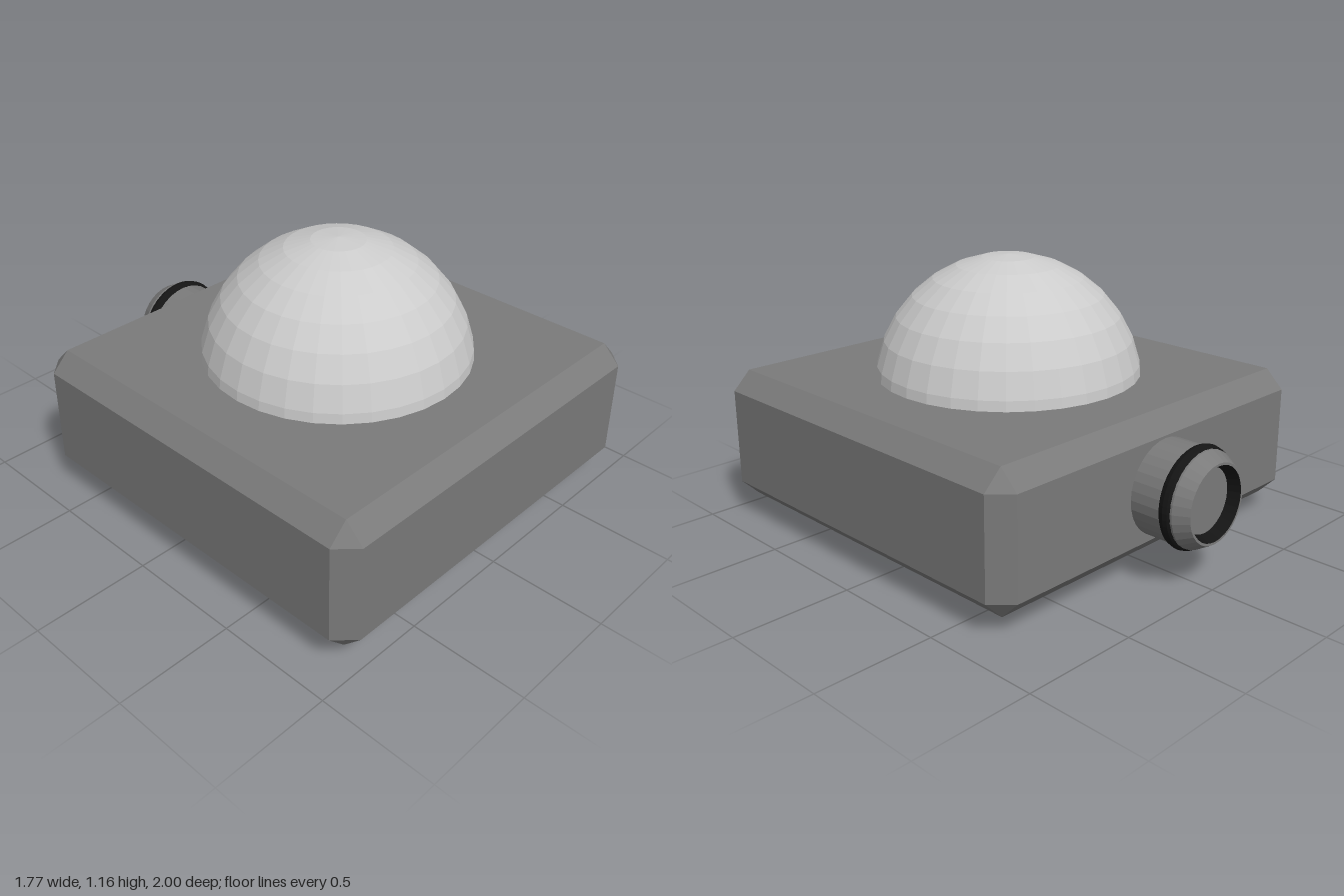
import * as THREE from 'three';
import { ConvexGeometry } from 'three/addons/geometries/ConvexGeometry.js';

const material = (color, side = THREE.FrontSide) =>
  new THREE.MeshStandardMaterial({ color, flatShading: true, side });

const bodyMat = material(0x7a7a7a);
const domeMat = material(0xcccccc);
const darkMat = material(0x141414, THREE.DoubleSide);

function addMesh(parent, name, geometry, mat, x = 0, y = 0, z = 0) {
  const mesh = new THREE.Mesh(geometry, mat);
  mesh.name = name;
  mesh.position.set(x, y, z);
  parent.add(mesh);
  return mesh;
}

// Box with every edge and corner cut by the same chamfer
function chamferedBox(w, h, d, c) {
  const points = [];
  for (const sx of [-1, 1]) for (const sy of [-1, 1]) for (const sz of [-1, 1]) {
    for (let axis = 0; axis < 3; axis++) {
      const half = [w / 2, h / 2, d / 2].map((v, i) => (i === axis ? v : v - c));
      points.push(new THREE.Vector3(sx * half[0], sy * half[1], sz * half[2]));
    }
  }
  return new ConvexGeometry(points);
}

// Surface turned about the z axis; points are [radius, distance towards the back]
function turned(points) {
  const g = new THREE.LatheGeometry(points.map(([r, d]) => new THREE.Vector2(r, d)), 32);
  return g.rotateX(-Math.PI / 2);
}

export function createModel() {
  const model = new THREE.Group();
  model.name = 'trackball';

  addMesh(model, 'housing', chamferedBox(1.77, 0.58, 1.745, 0.08), bodyMat, 0, 0.36, 0.1275);

  // Full ball, showing above and through the base
  addMesh(model, 'ball', new THREE.SphereGeometry(0.58, 32, 16), domeMat, 0, 0.58, 0.1275);

  // Round connector at the back
  const connector = new THREE.Group();
  connector.name = 'connector';
  connector.position.set(0, 0.36, 0);
  model.add(connector);

  addMesh(connector, 'connectorSleeve',
    turned([[0.2, 0.7], [0.2, 0.94], [0.165, 1], [0.155, 1]]), bodyMat);
  addMesh(connector, 'connectorSocketWall', turned([[0.155, 1], [0.135, 0.95]]), darkMat);
  addMesh(connector, 'connectorSocketFloor',
    new THREE.CircleGeometry(0.135, 32).rotateY(Math.PI), bodyMat, 0, 0, -0.95);
  addMesh(connector, 'sealRing', new THREE.TorusGeometry(0.178, 0.035, 12, 48), darkMat, 0, 0, -0.905);

  return model;
}
